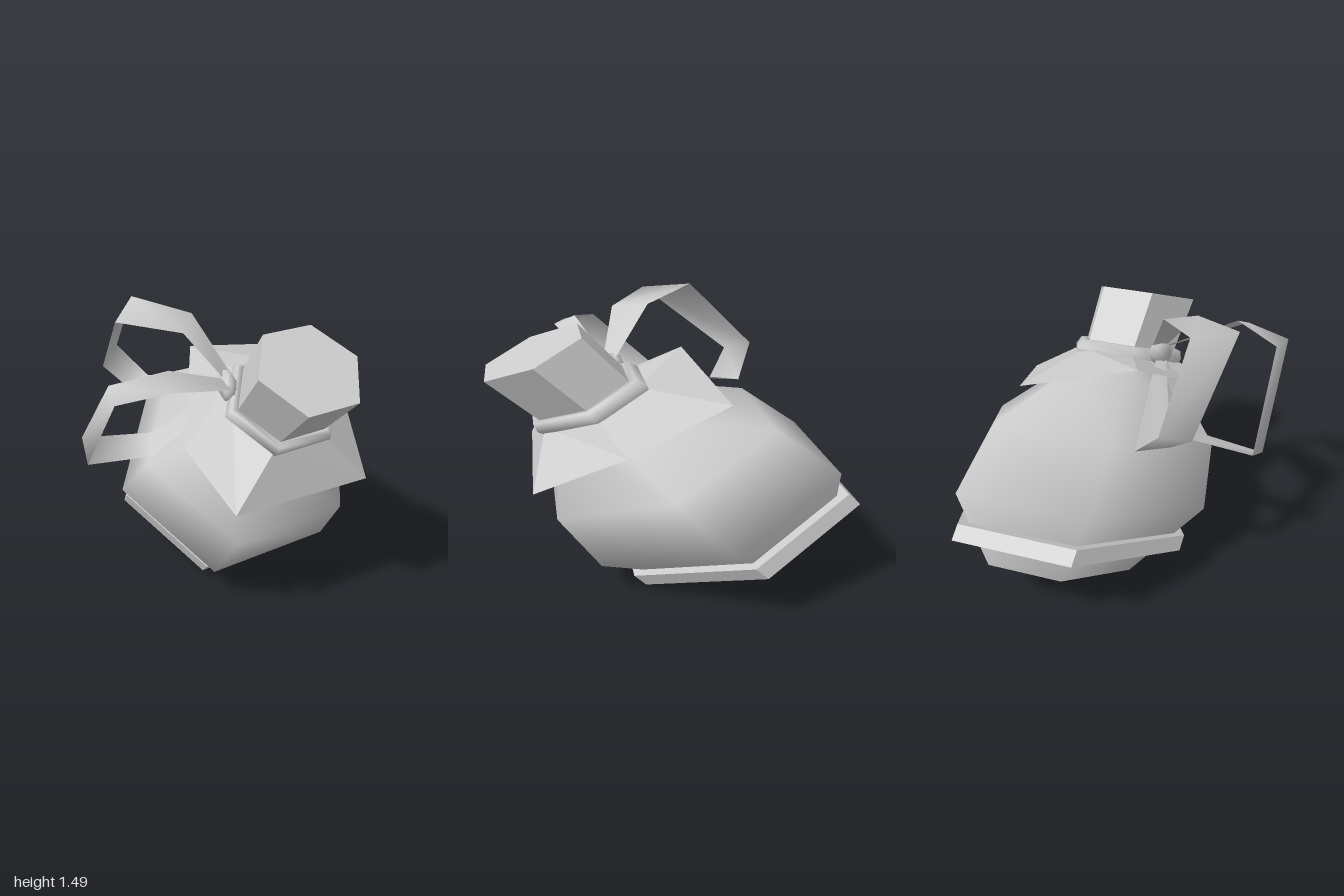
import * as THREE from 'three';

// Leaning, sheared frame shared by every six-sided part: radius spans U and V, height runs along AXIS
const U = new THREE.Vector3(0.265, 0.0075, -0.103);
const V = new THREE.Vector3(-0.047, 0.132, -0.285);
const AXIS = new THREE.Vector3(0.06, 0.26, 0.27);
const NECK = new THREE.Vector3(0.225, 1.03, 0.43);
const LEAN = new THREE.Matrix4().makeBasis(V, AXIS, U).setPosition(NECK);

function material(flat, double = false) {
  return new THREE.MeshStandardMaterial({
    color: 0xcccccc,
    flatShading: flat,
    side: double ? THREE.DoubleSide : THREE.FrontSide,
  });
}

// Six-sided turned part from [radius, height] pairs, set into the leaning frame
function turned(name, profile, flat) {
  const points = profile.map(([r, h]) => new THREE.Vector2(r, h));
  const geometry = new THREE.LatheGeometry(points, 6).applyMatrix4(LEAN);
  const mesh = new THREE.Mesh(geometry, material(flat));
  mesh.name = name;
  return mesh;
}

// Open strip between two rows of points of equal length
function strip(name, rowA, rowB, flat) {
  const positions = [];
  const index = [];
  rowA.forEach((p, i) => {
    positions.push(...p, ...rowB[i]);
    if (i) {
      const k = 2 * i;
      index.push(k - 2, k, k - 1, k - 1, k, k + 1);
    }
  });
  const geometry = new THREE.BufferGeometry();
  geometry.setAttribute('position', new THREE.Float32BufferAttribute(positions, 3));
  geometry.setIndex(index);
  geometry.computeVertexNormals();
  const mesh = new THREE.Mesh(geometry, material(flat, true));
  mesh.name = name;
  return mesh;
}

export function createModel() {
  const model = new THREE.Group();
  model.name = 'leaningFlask';

  // Bulging body with a flat underside
  model.add(turned('body', [[1.41, -3.3], [2.46, -2.2], [2.24, -1.22], [0.95, -0.22], [0.85, 0.1]], false));
  model.add(turned('base', [[0, -3.3], [1.41, -3.3]], true));

  // Band around the lower body
  model.add(turned('lowerBand', [[1.92, -2.87], [2.24, -2.87], [2.24, -2.64], [2.0, -2.64], [1.92, -2.87]], true));

  // Stopper
  model.add(turned('stopper', [[0, -0.1], [0.91, -0.1], [1, 1], [0, 1]], true));

  // Cord around the neck
  const cord = [];
  for (let i = 0; i <= 6; i++) {
    const a = (i / 6) * Math.PI * 2 - Math.PI;
    cord.push([1.0 + 0.13 * Math.cos(a), 0.15 * Math.sin(a)]);
  }
  model.add(turned('neckCord', cord, false));

  // Cloth collar: uneven hem gathered under the cord
  const hem = [
    [0.675, 0.92, 0.115], [0.365, 1.10, -0.345], [-0.155, 1.215, 0.0],
    [-0.28, 0.89, 0.60], [-0.09, 0.665, 0.885], [0.635, 0.66, 0.62],
  ];
  const gather = hem.map((_, i) => {
    const a = (i * Math.PI) / 3;
    return NECK.clone()
      .addScaledVector(U, 0.97 * Math.cos(a))
      .addScaledVector(V, 0.97 * Math.sin(a))
      .toArray();
  });
  model.add(strip('clothCollar', [...hem, hem[0]], [...gather, gather[0]], true));

  // Bow: knot and two ribbon loops
  const bow = new THREE.Group();
  bow.name = 'bow';
  const knot = new THREE.Mesh(new THREE.SphereGeometry(1, 6, 5), material(false));
  knot.name = 'bowKnot';
  knot.scale.set(0.05, 0.07, 0.1);
  knot.position.set(-0.035, 1.12, 0.39);
  knot.rotation.x = 0.45;
  bow.add(knot);

  bow.add(strip('backLoop',
    [[0.01, 1.14, 0.36], [-0.175, 1.44, 0.19], [-0.455, 1.495, 0], [-0.525, 1.14, -0.35], [-0.36, 0.965, -0.305], [-0.04, 1.11, 0.34]],
    [[-0.02, 1.12, 0.42], [-0.25, 1.40, 0.41], [-0.56, 1.44, 0.30], [-0.615, 1.07, -0.19], [-0.45, 0.925, -0.12], [-0.06, 1.09, 0.41]],
    false));
  bow.add(strip('frontLoop',
    [[-0.01, 1.14, 0.37], [-0.355, 1.305, 0.665], [-0.62, 1.24, 0.63], [-0.755, 0.82, 0.205], [-0.40, 0.80, 0.16], [-0.04, 1.10, 0.36]],
    [[0.01, 1.11, 0.44], [-0.36, 1.245, 0.795], [-0.605, 1.21, 0.81], [-0.735, 0.74, 0.37], [-0.41, 0.74, 0.33], [-0.04, 1.08, 0.42]],
    false));
  model.add(bow);

  return model;
}
